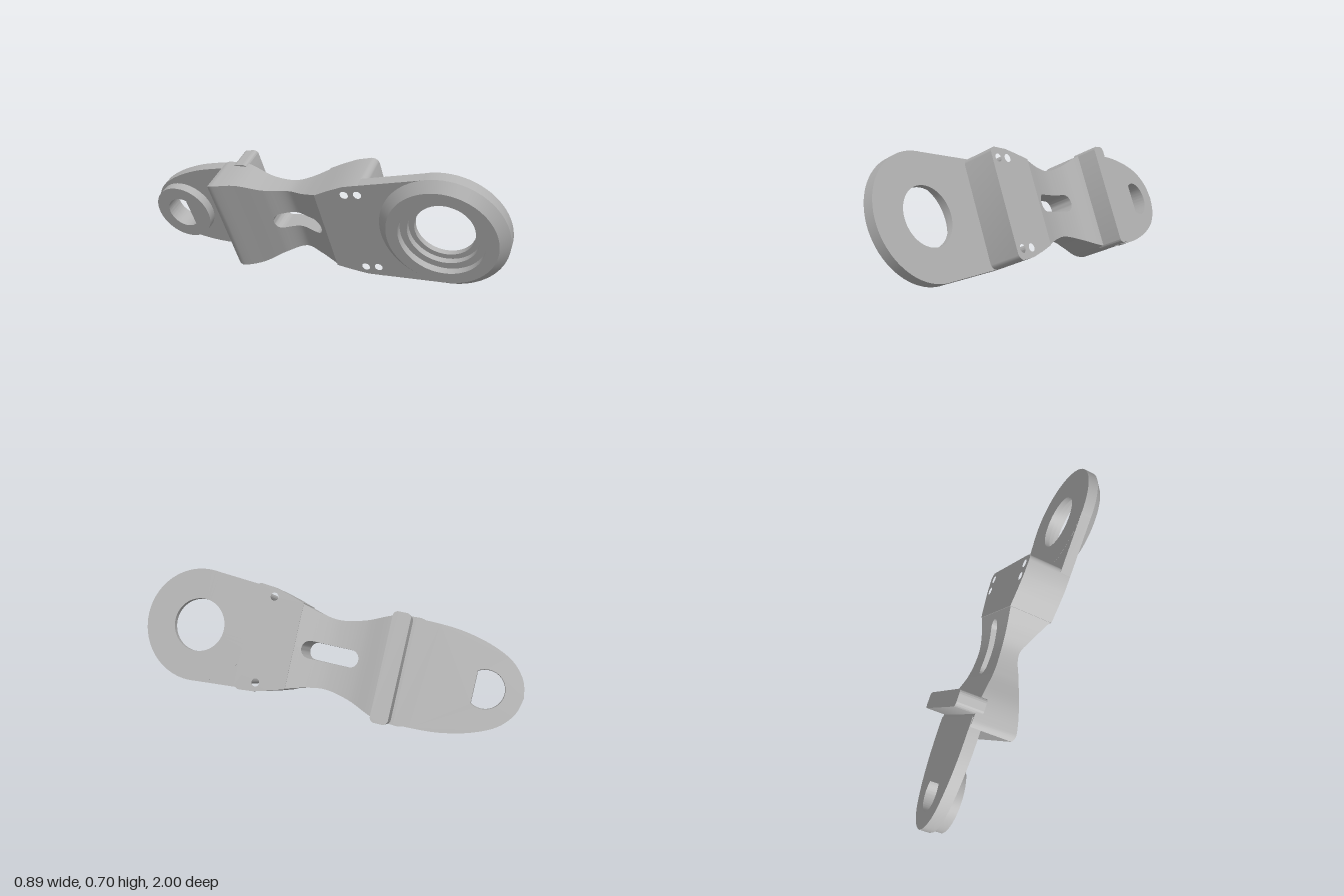
import * as THREE from 'three';
import { toCreasedNormals } from 'three/addons/utils/BufferGeometryUtils.js';

// Local frame: x runs along the arm, y is the plate normal, z is the width.
const steel = new THREE.MeshStandardMaterial({ color: 0xb0b0b0 });
steel.name = 'steel grey';

const V2 = (x, y) => new THREE.Vector2(x, y);

function part(name, geometry) {
  const mesh = new THREE.Mesh(toCreasedNormals(geometry, 0.5), steel);
  mesh.name = name;
  return mesh;
}

// Extrude a plan outline from height n0 to n1
function slab(shape, n0, n1) {
  const g = new THREE.ExtrudeGeometry(shape, { depth: n1 - n0, bevelEnabled: false, curveSegments: 32 });
  return g.rotateX(-Math.PI / 2).translate(0, n0, 0);
}

// Closed outline symmetric about the arm axis, from points of one side
function mirrored(points) {
  const other = points.map((p) => V2(p.x, -p.y)).reverse();
  return new THREE.Shape([...points, ...other]);
}

function circleHole(x, y, r) {
  return new THREE.Path().absarc(x, y, r, 0, Math.PI * 2, true);
}

// Round hole with one flat side
function dHole(x, r, flat) {
  const a = Math.acos(flat / r);
  const path = new THREE.Path();
  path.absarc(x, 0, r, a, Math.PI * 2 - a, false);
  path.closePath();
  return path;
}

// Smooth interpolation through keyed values
function smoothValue(keys, vals, u) {
  let i = 0;
  while (i < keys.length - 2 && u < keys[i + 1]) i++;
  const slope = (k) => {
    const a = Math.max(k - 1, 0), b = Math.min(k + 1, keys.length - 1);
    return (vals[b] - vals[a]) / (keys[b] - keys[a]);
  };
  const h = keys[i + 1] - keys[i], t = (u - keys[i]) / h;
  const t2 = t * t, t3 = t2 * t;
  return (2 * t3 - 3 * t2 + 1) * vals[i] + (t3 - 2 * t2 + t) * h * slope(i)
    + (3 * t2 - 2 * t3) * vals[i + 1] + (t3 - t2) * h * slope(i + 1);
}

// Waisted middle, lofted as two halves around a rounded slot
function waistGeometry() {
  const keys = [-0.6, -0.72, -0.82, -0.95, -1.09, -1.22, -1.25];
  const width = [0.228, 0.195, 0.183, 0.21, 0.262, 0.275, 0.268];
  const low = [-0.057, 0.0, 0.04, 0.008, -0.02, -0.044, -0.032];
  const high = [0.178, 0.15, 0.138, 0.145, 0.18, 0.19, 0.19];
  const r = 0.046, c0 = -0.695, c1 = -0.905;
  const slot = (u) => {
    const d = Math.max(u - c0, c1 - u, 0);
    return d >= r - 1e-6 ? 0 : Math.sqrt(r * r - d * d);
  };
  const us = [];
  for (let i = 0; i <= 48; i++) us.push(-0.6 - 0.65 * i / 48);
  for (let i = 0; i <= 10; i++) {
    const d = r * Math.sin(i / 10 * Math.PI / 2);
    us.push(c0 + d, c1 - d);
  }
  us.sort((a, b) => b - a);
  const pos = [];
  for (const side of [1, -1]) {
    const tri = (a, b, c) => pos.push(...a, ...(side > 0 ? b : c), ...(side > 0 ? c : b));
    const ring = (u) => {
      const s = slot(u) * side, w = smoothValue(keys, width, u) * side;
      const lo = smoothValue(keys, low, u), hi = smoothValue(keys, high, u);
      return [[u, lo, s], [u, lo, w], [u, hi, w], [u, hi, s]];
    };
    for (let i = 0; i < us.length - 1; i++) {
      if (us[i] - us[i + 1] < 1e-6) continue;
      const p = ring(us[i]), q = ring(us[i + 1]);
      const open = slot(us[i]) + slot(us[i + 1]) > 0;
      for (let k = 0; k < (open ? 4 : 3); k++) {
        const m = (k + 1) % 4;
        tri(p[k], p[m], q[m]);
        tri(p[k], q[m], q[k]);
      }
    }
    const e = ring(-1.25); // back wall
    tri(e[0], e[1], e[2]);
    tri(e[0], e[2], e[3]);
  }
  const g = new THREE.BufferGeometry();
  g.setAttribute('position', new THREE.Float32BufferAttribute(pos, 3));
  g.computeVertexNormals();
  return g;
}

export function createModel() {
  const group = new THREE.Group();
  group.name = 'bracketArm';

  // Front ring with stepped recess and chamfer underneath
  const profile = [[0.148, -0.03], [0.175, -0.03], [0.175, -0.062], [0.21, -0.062], [0.21, -0.1],
    [0.27, -0.1], [0.315, -0.057], [0.315, 0], [0.148, 0], [0.148, -0.03]];
  group.add(part('frontRing', new THREE.LatheGeometry(profile.map(([x, y]) => V2(x, y)), 72)));

  // Neck plate between ring and block, ending inside the ring
  const neck = new THREE.Shape();
  neck.moveTo(-0.345, 0.24);
  neck.lineTo(-0.375, 0.284);
  neck.lineTo(-0.03, 0.313);
  const a = Math.PI * 0.62;
  neck.lineTo(0.27 * Math.cos(a), 0.27 * Math.sin(a));
  neck.absarc(0, 0, 0.27, a, Math.PI * 2 - a, false);
  neck.lineTo(-0.03, -0.313);
  neck.lineTo(-0.375, -0.284);
  neck.lineTo(-0.345, -0.24);
  neck.closePath();
  group.add(part('neckPlate', slab(neck, -0.057, -0.0005)));

  // Mounting block with four through holes
  const corner = [];
  for (let i = 0; i <= 6; i++) {
    const t = i / 6 * Math.PI / 2;
    corner.push(V2(-0.371 + 0.035 * Math.sin(t), 0.25 + 0.035 * Math.cos(t)));
  }
  const block = mirrored([V2(-0.613, 0.228), V2(-0.53, 0.255), V2(-0.45, 0.277), ...corner]);
  for (const u of [-0.381, -0.451]) {
    for (const v of [-0.229, 0.229]) block.holes.push(circleHole(u, v, 0.021));
  }
  group.add(part('mountingBlock', slab(block, -0.057, 0.178)));

  group.add(part('slottedWaist', waistGeometry()));

  // Cross ridge with rounded ends
  const ridge = new THREE.Shape();
  const x0 = -1.185, x1 = -1.095, e = 0.277, q = 0.025;
  ridge.absarc(x1 - q, e - q, q, 0, Math.PI / 2, false);
  ridge.absarc(x0 + q, e - q, q, Math.PI / 2, Math.PI, false);
  ridge.absarc(x0 + q, -e + q, q, Math.PI, Math.PI * 1.5, false);
  ridge.absarc(x1 - q, -e + q, q, Math.PI * 1.5, Math.PI * 2, false);
  ridge.closePath();
  group.add(part('crossRidge', slab(ridge, 0.15, 0.295)));

  // Tapered back plate and the round boss below it, both with a flat-sided hole
  const edge = new THREE.SplineCurve([V2(-1.2, 0.268), V2(-1.3, 0.267), V2(-1.43, 0.256), V2(-1.57, 0.222),
    V2(-1.69, 0.165), V2(-1.76, 0.085), V2(-1.783, 0)]).getPoints(36);
  const outline = [...edge, ...edge.slice(0, -1).reverse().map((p) => V2(p.x, -p.y))];
  const plate = new THREE.Shape(outline);
  plate.holes.push(dHole(-1.596, 0.097, 0.052));
  group.add(part('backPlate', slab(plate, 0.134, 0.194)));

  const boss = new THREE.Shape().absarc(-1.596, 0, 0.172, 0, Math.PI * 2, false);
  boss.holes.push(dHole(-1.596, 0.097, 0.052));
  group.add(part('backBoss', slab(boss, 0.082, 0.135)));

  // Tilt the whole arm into its resting pose
  const along = new THREE.Vector3(0.42, 0.115, 0.897).normalize();
  const across = along.clone().cross(new THREE.Vector3(0.808, 0.4, -0.43)).normalize();
  const normal = across.clone().cross(along);
  group.quaternion.setFromRotationMatrix(new THREE.Matrix4().makeBasis(along, normal, across));
  group.position.set(0.256, 0.408, 0.689);

  const model = new THREE.Group();
  model.name = 'model';
  model.add(group);
  return model;
}
